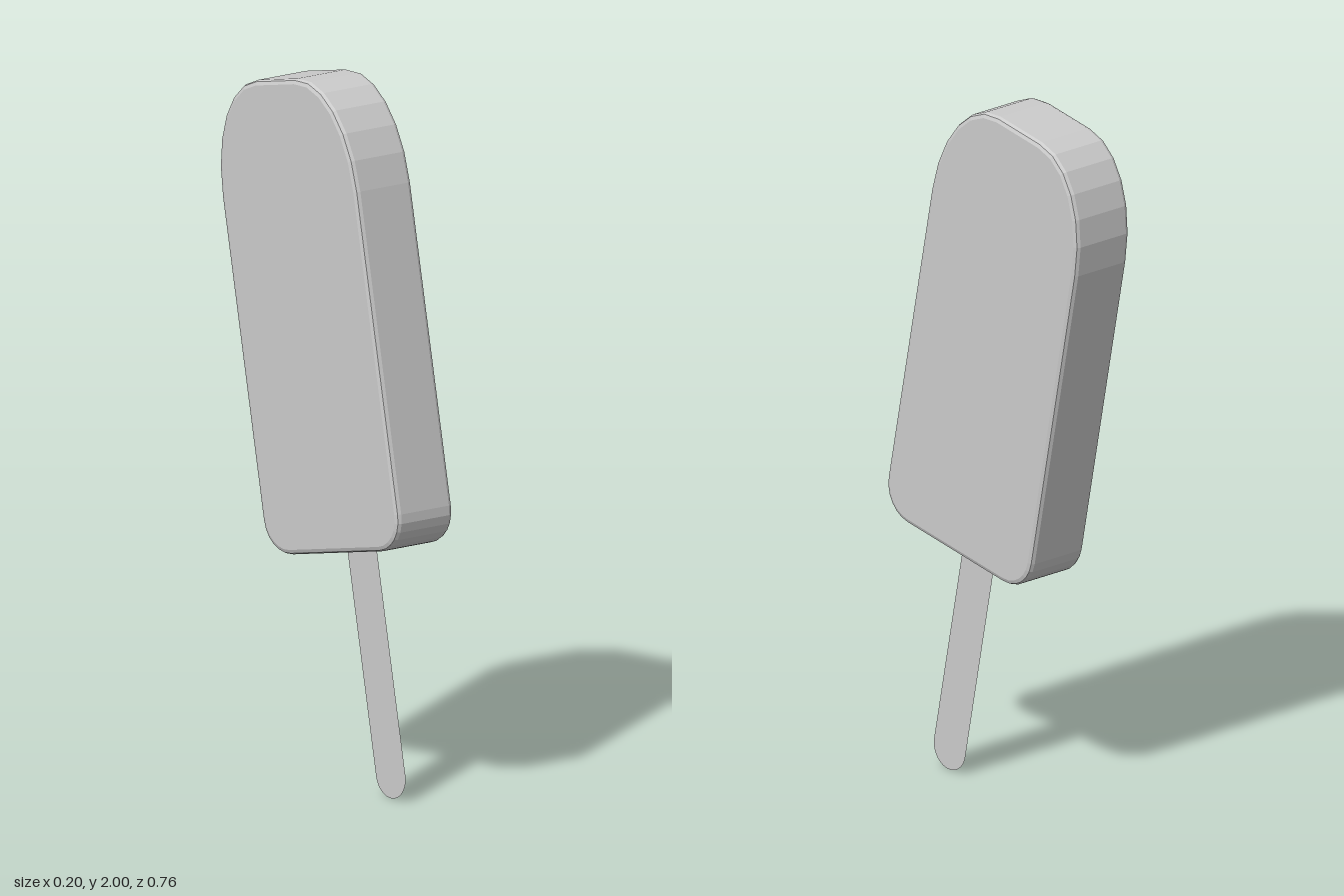
import * as THREE from 'three';

const MID = 0.245; // centre line of the lolly, measured across its width

// Bar outline: small rounded corners below, tall rounded shoulders above
function barShape() {
  const h = 0.295, bottom = 0.65, top = 1.97;
  const r = 0.1, flat = 0.085, shoulder = 1.65;
  const k = 0.552, b = r * (1 - k);
  const sx = (h - flat) * 0.56, sy = (top - shoulder) * 0.56;
  const s = new THREE.Shape();
  s.moveTo(MID - h + r, bottom);
  s.lineTo(MID + h - r, bottom);
  s.bezierCurveTo(MID + h - b, bottom, MID + h, bottom + b, MID + h, bottom + r);
  s.lineTo(MID + h, shoulder);
  s.bezierCurveTo(MID + h, shoulder + sy, MID + flat + sx, top, MID + flat, top);
  s.lineTo(MID - flat, top);
  s.bezierCurveTo(MID - flat - sx, top, MID - h, shoulder + sy, MID - h, shoulder);
  s.lineTo(MID - h, bottom + r);
  s.bezierCurveTo(MID - h, bottom + b, MID - h + b, bottom, MID - h + r, bottom);
  return s;
}

// Stick outline: straight strip with a round lower end
function stickShape() {
  const r = 0.0635, low = 0.016;
  const s = new THREE.Shape();
  s.moveTo(MID + r, 0.7);
  s.lineTo(MID - r, 0.7);
  s.lineTo(MID - r, low);
  s.absarc(MID, low, r, Math.PI, Math.PI * 2, false);
  s.lineTo(MID + r, 0.7);
  return s;
}

export function createModel() {
  const group = new THREE.Group();
  group.name = 'iceLolly';

  // Ice bar with a narrow softened rim on both faces
  const bevel = 0.014;
  const depth = 0.2 - 2 * bevel;
  const barGeometry = new THREE.ExtrudeGeometry(barShape(), {
    depth,
    curveSegments: 6,
    bevelEnabled: true,
    bevelThickness: bevel,
    bevelSize: bevel,
    bevelOffset: -bevel,
    bevelSegments: 2,
  });
  barGeometry.translate(0, 0, -depth / 2);
  const bar = new THREE.Mesh(
    barGeometry,
    new THREE.MeshStandardMaterial({ color: 0xcccccc, flatShading: true })
  );
  bar.name = 'iceBar';

  // Paper-thin stick
  const stick = new THREE.Mesh(
    new THREE.ShapeGeometry(stickShape(), 12),
    new THREE.MeshStandardMaterial({ color: 0xcccccc, side: THREE.DoubleSide })
  );
  stick.name = 'stick';

  // Turn the outlines to face sideways and lean the lolly backwards
  const lolly = new THREE.Group();
  lolly.name = 'leaningLolly';
  lolly.rotation.set(-THREE.MathUtils.degToRad(11.2), -Math.PI / 2, 0);
  lolly.add(bar, stick);
  group.add(lolly);
  return group;
}
